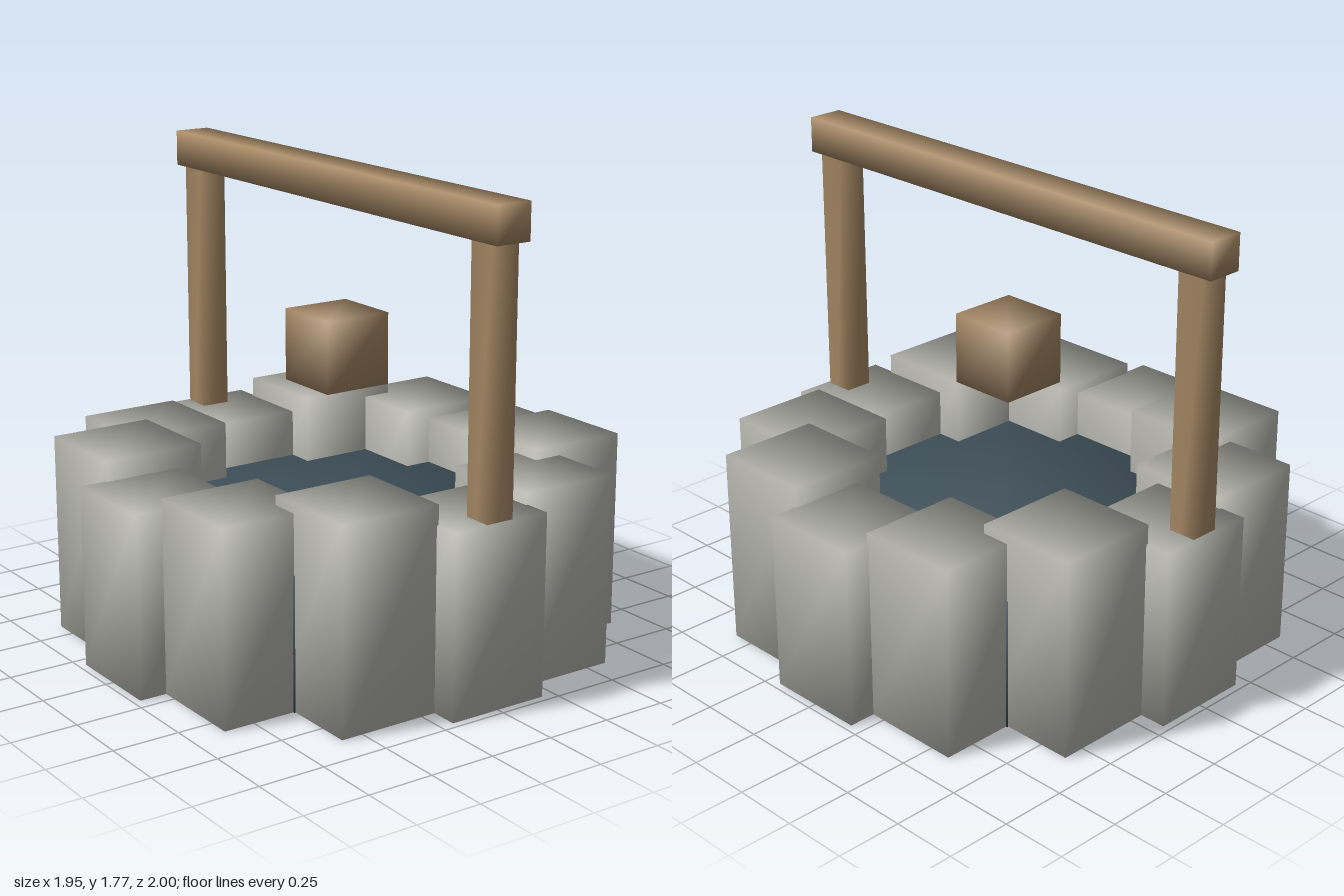
import * as THREE from 'three';
import { mergeVertices } from 'three/addons/utils/BufferGeometryUtils.js';

const stone = new THREE.MeshStandardMaterial({ color: 0xbcbcb4 });
const wood = new THREE.MeshStandardMaterial({ color: 0xa88a66 });
const water = new THREE.MeshStandardMaterial({ color: 0x40525c });

// Box with shared corners, so its shading is soft across the edges
function softBox(w, h, d) {
  const g = new THREE.BoxGeometry(w, h, d);
  g.deleteAttribute('normal');
  g.deleteAttribute('uv');
  const merged = mergeVertices(g);
  merged.computeVertexNormals();
  return merged;
}

// Places a box by its bottom and top heights
function addBox(parent, name, material, w, d, bottom, top, x = 0, z = 0) {
  const mesh = new THREE.Mesh(softBox(w, top - bottom, d), material);
  mesh.name = name;
  mesh.position.set(x, (bottom + top) / 2, z);
  parent.add(mesh);
}

export function createModel() {
  const well = new THREE.Group();
  well.name = 'well';

  // Ring of twelve upright stones in three repeating heights
  const ring = new THREE.Group();
  ring.name = 'stoneRing';
  const heights = [0.68, 0.72, 0.755];
  for (let i = 0; i < 12; i++) {
    const a = (i * Math.PI) / 6;
    addBox(ring, 'stone', stone, 0.395, 0.395, 0.001, heights[i % 3],
      0.775 * Math.sin(a), 0.775 * Math.cos(a));
  }
  well.add(ring);

  // Block of water inside the ring
  addBox(well, 'water', water, 1.18, 1.18, 0, 0.5);

  // Posts standing in the front and back stones
  for (const s of [1, -1]) addBox(well, 'post', wood, 0.11, 0.11, 0, 1.64, 0, s * 0.905);

  // Crossbeam and bucket
  addBox(well, 'crossbeam', wood, 0.14, 2, 1.64, 1.775);
  addBox(well, 'bucket', wood, 0.27, 0.27, 0.96, 1.23);

  return well;
}
